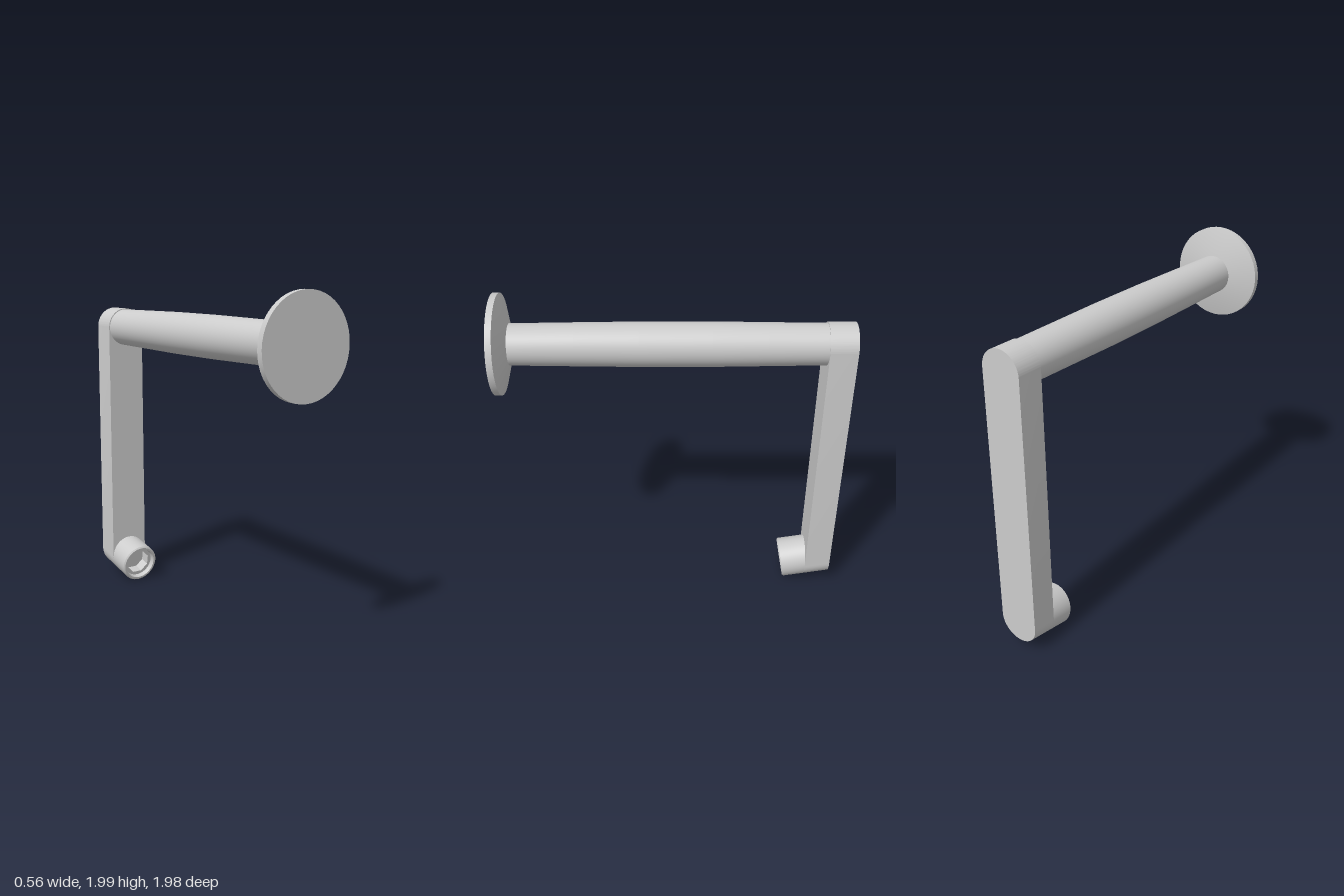
import * as THREE from 'three';
import { toCreasedNormals } from 'three/addons/utils/BufferGeometryUtils.js';

const material = new THREE.MeshStandardMaterial({ color: 0xcccccc });
const PIVOT_Y = 1.72, RADIUS = 0.124, TILT = 0.186;

function addPart(parent, name, geometry) {
  const mesh = new THREE.Mesh(toCreasedNormals(geometry, 0.5), material);
  mesh.name = name;
  parent.add(mesh);
  return mesh;
}

// Solid of revolution about z, from [radius, z] pairs listed back to front
function turned(profile) {
  const points = profile.map(([r, z]) => new THREE.Vector2(r, z));
  return new THREE.LatheGeometry(points, 48).rotateX(Math.PI / 2);
}

function extrude(shape, depth) {
  return new THREE.ExtrudeGeometry(shape, { depth, bevelEnabled: false, curveSegments: 32 });
}

export function createModel() {
  const group = new THREE.Group();

  // Grip, swelling slightly in the middle
  const grip = addPart(group, 'grip', turned([
    [0, -0.9], [0.116, -0.9], [0.116, -0.82], [0.12, -0.5], [0.124, -0.2], [0.124, 0.2], [0.12, 0.55], [0.115, 0.92],
  ]));
  grip.position.y = PIVOT_Y;

  // Flared disc closing the front of the grip
  const flange = addPart(group, 'endFlange', turned([
    [0, 0.91], [0.115, 0.91], [0.28, 0.955], [0.28, 0.99], [0, 0.99],
  ]));
  flange.position.y = PIVOT_Y;

  // Round-ended arm; its lower end is sheared to follow the tilted socket
  const low = 0.184;
  const outline = new THREE.Shape();
  outline.absarc(0, PIVOT_Y, RADIUS - 0.002, 0, Math.PI, false);
  outline.absarc(0, low, RADIUS, Math.PI, Math.PI * 2, false);
  outline.closePath();
  const armGeometry = extrude(outline, 0.155);
  const p = armGeometry.attributes.position;
  for (let i = 0; i < p.count; i++) {
    if (p.getY(i) < 1) p.setY(i, p.getY(i) - p.getZ(i) * Math.tan(TILT));
  }
  addPart(group, 'arm', armGeometry).position.z = -0.985;

  // Tilted socket at the foot of the arm
  const socket = new THREE.Group();
  socket.name = 'socket';
  socket.position.set(0, 0.128, -0.68);
  socket.rotation.x = TILT;
  group.add(socket);
  addPart(socket, 'socketBody', turned([
    [0, -0.25], [RADIUS, -0.25], [RADIUS, -0.008], [0.116, 0], [0.104, 0], [0.098, -0.03], [0.098, -0.1], [0, -0.1],
  ]));

  // Eight-sided liner with a stepped bore
  const liner = new THREE.Shape().absarc(0, 0, 0.1, 0, Math.PI * 2, false);
  const bore = new THREE.Path();
  for (let i = 0; i < 8; i++) {
    const a = (i + 0.5) * Math.PI / 4;
    bore[i ? 'lineTo' : 'moveTo'](0.08 * Math.cos(a), 0.08 * Math.sin(a));
  }
  bore.closePath();
  liner.holes.push(bore);
  addPart(socket, 'socketLiner', extrude(liner, 0.07)).position.z = -0.1;

  return group;
}
